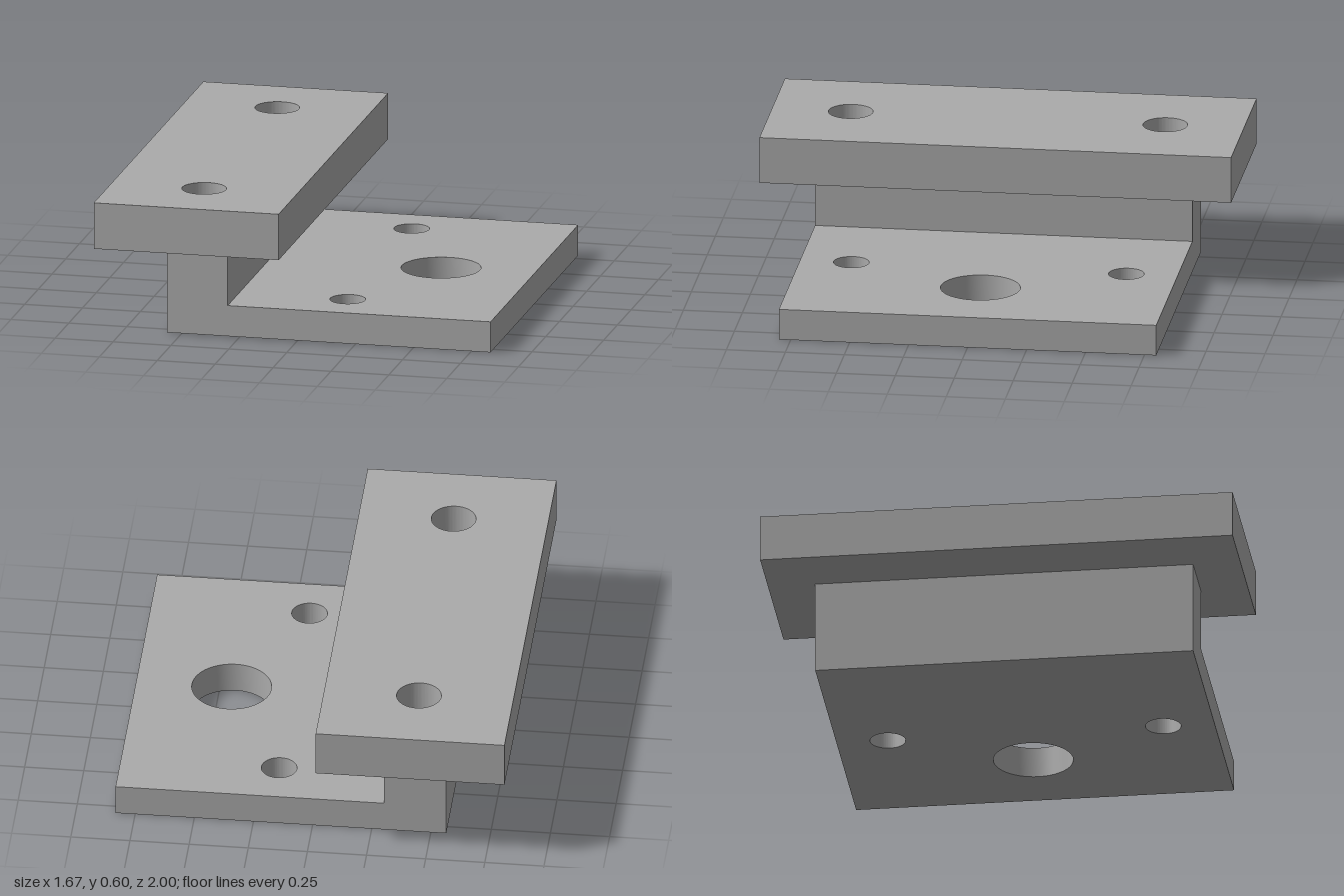
import * as THREE from 'three';
import { toCreasedNormals } from 'three/addons/utils/BufferGeometryUtils.js';

// Horizontal plate from x0 to x1, half-depth d, bottom y0 to top y1, with round vertical holes [x, z, radius]
function drilledPlate(x0, x1, d, y0, y1, holes) {
  const shape = new THREE.Shape([
    new THREE.Vector2(x0, -d), new THREE.Vector2(x1, -d),
    new THREE.Vector2(x1, d), new THREE.Vector2(x0, d),
  ]);
  for (const [x, z, r] of holes) {
    shape.holes.push(new THREE.Path().absarc(x, -z, r, 0, Math.PI * 2, true));
  }
  const geometry = new THREE.ExtrudeGeometry(shape, { depth: y1 - y0, bevelEnabled: false, curveSegments: 48 });
  geometry.rotateX(-Math.PI / 2).translate(0, y0, 0);
  return toCreasedNormals(geometry, 0.5);
}

export function createModel() {
  const model = new THREE.Group();
  model.name = 'mountingBracket';
  const metal = new THREE.MeshStandardMaterial({ color: 0xaaaaaa });
  metal.name = 'greyMetal';

  const add = (name, geometry) => {
    const mesh = new THREE.Mesh(geometry, metal);
    mesh.name = name;
    model.add(mesh);
  };

  const webLeft = -0.565, webRight = -0.302, webTop = 0.4, baseTop = 0.133;

  // Base plate with one large bore and two screw holes
  add('basePlate', drilledPlate(webRight, 0.833, 0.8, 0, baseTop, [
    [0.43, 0, 0.168], [0.165, -0.583, 0.075], [0.165, 0.583, 0.075],
  ]));

  // Upright web carrying the top plate; its top closes the holes above
  const web = new THREE.BoxGeometry(webRight - webLeft, webTop, 1.6);
  web.translate((webLeft + webRight) / 2, webTop / 2, 0);
  add('uprightWeb', web);

  // Wider top plate with two screw holes
  add('topPlate', drilledPlate(-0.833, -0.035, 1, webTop, 0.6, [
    [-0.435, -0.667, 0.094], [-0.435, 0.667, 0.094],
  ]));

  return model;
}
